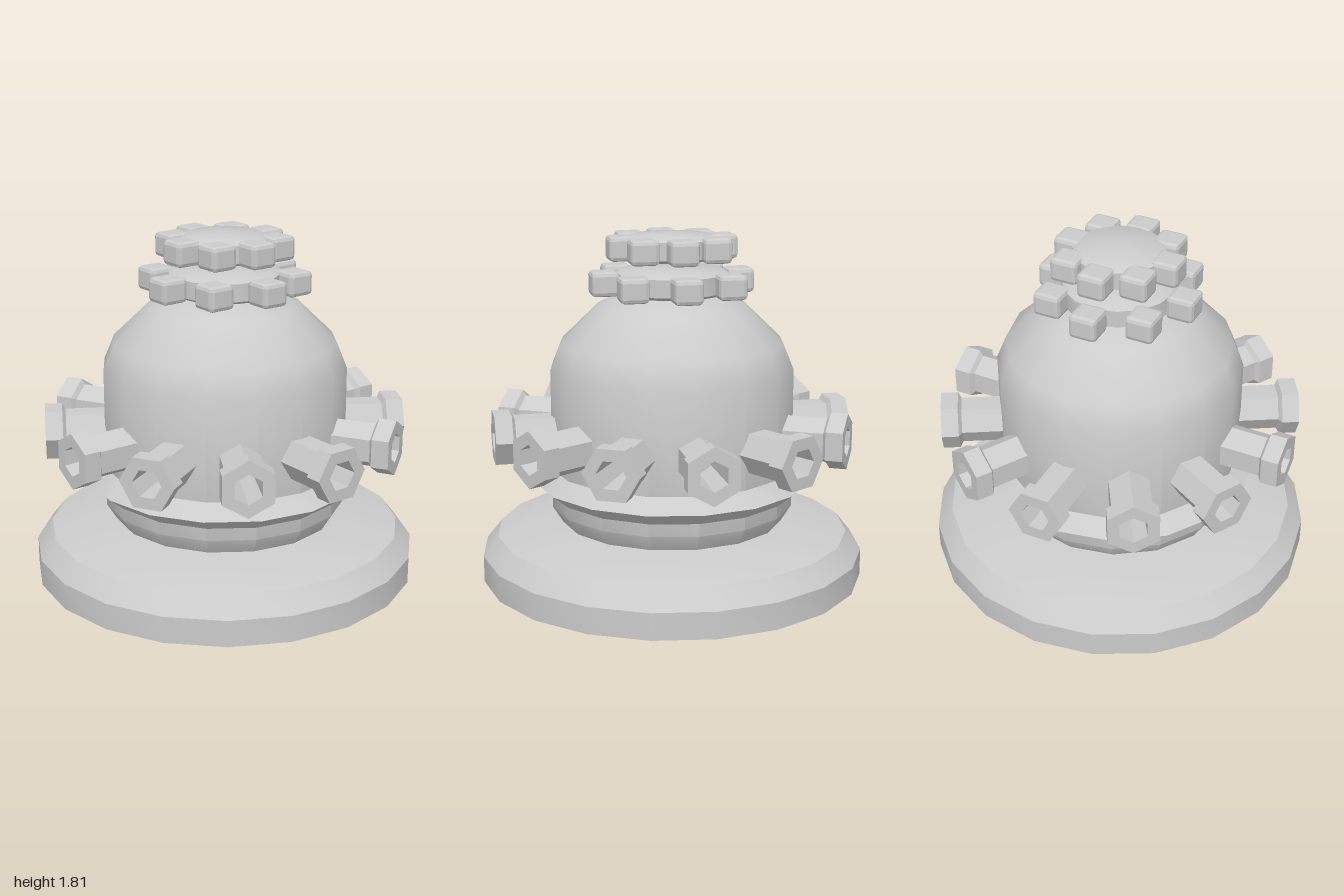
import * as THREE from 'three';
import { toCreasedNormals } from 'three/addons/utils/BufferGeometryUtils.js';
import { RoundedBoxGeometry } from 'three/addons/geometries/RoundedBoxGeometry.js';

const smooth = new THREE.MeshStandardMaterial({ color: 0xcccccc });
const faceted = new THREE.MeshStandardMaterial({ color: 0xcccccc, flatShading: true });

// Turned part from [radius, height] pairs, listed bottom to top
function turned(name, profile, sides) {
  const points = profile.map(([r, y]) => new THREE.Vector2(r, y));
  const geometry = toCreasedNormals(new THREE.LatheGeometry(points, sides), 0.6);
  const mesh = new THREE.Mesh(geometry, smooth);
  mesh.name = name;
  return mesh;
}

// Cogged disc: a shallow domed plate with eight axis-aligned chamfered blocks
function cog(name, y, plateRadius, toothRadius) {
  const group = new THREE.Group();
  group.name = name;
  const r = plateRadius;
  group.add(turned(name + 'Plate', [
    [0, -0.073], [r - 0.03, -0.062], [r, -0.045], [r, 0.045], [r - 0.03, 0.062], [0, 0.075],
  ], 16));
  const block = new RoundedBoxGeometry(0.145, 0.125, 0.145, 1, 0.022);
  for (let i = 0; i < 8; i++) {
    const a = (i * Math.PI) / 4;
    const tooth = new THREE.Mesh(block, faceted);
    tooth.name = name + 'Tooth';
    tooth.position.set(Math.sin(a) * toothRadius, 0, Math.cos(a) * toothRadius);
    group.add(tooth);
  }
  group.position.y = y;
  return group;
}

// Hollow hexagonal nozzle pointing along +z, with a wider head
function nozzleGeometry(roll) {
  const profile = [
    [0.115, 0.52], [0.115, 0.825], [0.145, 0.842], [0.145, 0.93], [0.077, 0.93], [0.068, 0.58],
  ].map(([r, y]) => new THREE.Vector2(r, y));
  return new THREE.LatheGeometry(profile, 6).rotateY(roll).rotateX(Math.PI / 2);
}

export function createModel() {
  const model = new THREE.Group();
  model.name = 'domedBody';

  // Broad stepped foot
  model.add(turned('base', [
    [0, 0], [1, 0.012], [1, 0.15], [0.92, 0.25], [0.68, 0.31], [0, 0.31],
  ], 20));

  // Cylindrical body closing into a dome
  model.add(turned('body', [
    [0.575, 0.3], [0.633, 0.395], [0.633, 1.12], [0.58, 1.25],
    [0.385, 1.44], [0.27, 1.495], [0, 1.5],
  ], 16));

  // Sharp collar around the lower body
  model.add(turned('collar', [[0.62, 0.45], [0.72, 0.53], [0.62, 0.61]], 16));

  // Two stacked cogs on the crown
  model.add(cog('lowerCog', 1.56, 0.29, 0.35));
  model.add(cog('upperCog', 1.736, 0.23, 0.26));

  // Ring of nozzles, alternately turned flat-up and corner-up
  const shapes = [nozzleGeometry(Math.PI / 6), nozzleGeometry(0)];
  for (let i = 0; i < 12; i++) {
    const nozzle = new THREE.Mesh(shapes[i % 2], faceted);
    nozzle.name = 'nozzle';
    nozzle.position.y = 0.785;
    nozzle.rotation.y = (i * Math.PI) / 6;
    model.add(nozzle);
  }
  return model;
}
